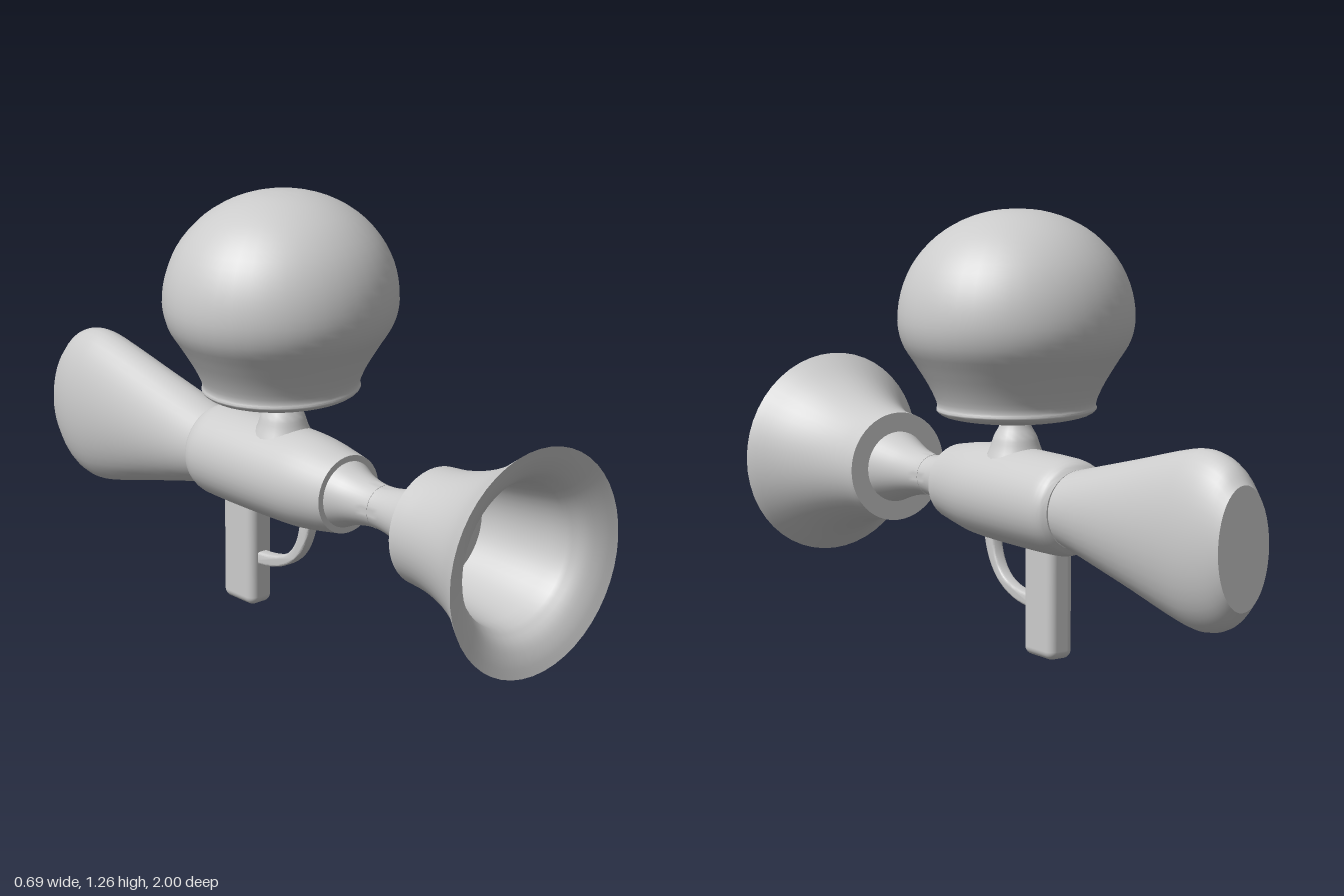
import * as THREE from 'three';
import { toCreasedNormals } from 'three/addons/utils/BufferGeometryUtils.js';
import { RoundedBoxGeometry } from 'three/addons/geometries/RoundedBoxGeometry.js';

const AXIS_Y = 0.44; // height of the barrel axis
const grey = new THREE.MeshStandardMaterial({ color: 0xcccccc });
const greyDouble = new THREE.MeshStandardMaterial({ color: 0xcccccc, side: THREE.DoubleSide });

function part(group, name, geometry, material = grey) {
  const mesh = new THREE.Mesh(geometry, material);
  mesh.name = name;
  group.add(mesh);
  return mesh;
}

// Elliptical loft along an axis; sections are [position, rx, ry = rx]
function loft(sections, sides = 40) {
  const geo = new THREE.LatheGeometry(sections.map(([p]) => new THREE.Vector2(1, p)), sides);
  const pos = geo.attributes.position;
  for (let i = 0; i < pos.count; i++) {
    const [, rx, ry = rx] = sections[i % sections.length];
    pos.setX(i, pos.getX(i) * rx);
    pos.setZ(i, pos.getZ(i) * ry);
  }
  return toCreasedNormals(geo, 0.65);
}

const loftZ = (sections, sides) => loft(sections, sides).rotateX(Math.PI / 2).translate(0, AXIS_Y, 0);

// Passes a smooth curve through a few sections
function smooth(sections, steps) {
  const curve = new THREE.CatmullRomCurve3(
    sections.map(([p, rx, ry = rx]) => new THREE.Vector3(p, rx, ry)), false, 'centripetal');
  return curve.getPoints(steps).map((v) => v.toArray());
}

export function createModel() {
  const model = new THREE.Group();
  model.name = 'bulbHornBlaster';

  // Shoulder stock, flat elliptical end
  part(model, 'stock', loftZ([
    [-1, 0, 0],
    ...smooth([[-1, 0.085, 0.165], [-0.96, 0.1, 0.208], [-0.91, 0.112, 0.232], [-0.85, 0.118, 0.24],
      [-0.79, 0.119, 0.232], [-0.55, 0.115, 0.172], [-0.29, 0.107, 0.108]], 24),
  ]));

  // Receiver body
  part(model, 'body', loftZ([
    [-0.305, 0, 0],
    ...smooth([[-0.305, 0.112], [-0.29, 0.127], [-0.265, 0.136], [-0.22, 0.139], [0.05, 0.139],
      [0.15, 0.134], [0.28, 0.113]], 24),
    [0.28, 0, 0],
  ]));

  // Waisted barrel, open towards the bell
  part(model, 'barrel', loftZ(smooth([[0.27, 0.1], [0.33, 0.075], [0.42, 0.061], [0.51, 0.073],
    [0.57, 0.09], [0.625, 0.109]], 20)), greyDouble);
  part(model, 'barrelPlug', new THREE.CircleGeometry(0.062, 40).translate(0, AXIS_Y, 0.42), greyDouble);

  // Flared bell with rolled lip, inner throat and back ring
  part(model, 'bell', loftZ([
    [0.62, 0.105],
    ...smooth([[0.62, 0.166], [0.7, 0.174], [0.8, 0.2], [0.9, 0.245], [1, 0.313]], 16),
    ...smooth([[1, 0.313], [0.985, 0.27], [0.96, 0.23], [0.92, 0.2]], 10),
    ...smooth([[0.92, 0.2], [0.78, 0.178], [0.64, 0.163]], 6),
    [0.64, 0.105],
  ], 48), greyDouble);

  // Peg holding the bulb
  part(model, 'peg', loft(smooth([[0.55, 0.085], [0.58, 0.072], [0.61, 0.062], [0.64, 0.046],
    [0.68, 0.036]], 12), 24));

  // Squeeze bulb, slightly narrower front to back
  const bulb = part(model, 'bulb', loft(smooth([[0.65, 0.001], [0.655, 0.1], [0.668, 0.19], [0.677, 0.22],
    [0.69, 0.234], [0.703, 0.231], [0.75, 0.25], [0.82, 0.293], [0.88, 0.331], [0.94, 0.345],
    [1.02, 0.336], [1.1, 0.302], [1.17, 0.242], [1.22, 0.165], [1.248, 0.08], [1.256, 0.001]], 48), 40));
  bulb.scale.z = 0.925;
  bulb.position.z = -0.007;

  // Pistol grip
  part(model, 'grip', new RoundedBoxGeometry(0.085, 0.38, 0.135, 5, 0.025).translate(0, 0.19, -0.159));

  // Trigger guard, drawn in the side plane (shape x becomes z)
  const guard = new THREE.Shape();
  guard.moveTo(0.135, 0.32);
  guard.bezierCurveTo(0.12, 0.22, 0.06, 0.13, -0.12, 0.128);
  guard.lineTo(-0.12, 0.166);
  guard.bezierCurveTo(0.02, 0.165, 0.08, 0.2, 0.092, 0.32);
  const guardGeo = new THREE.ExtrudeGeometry(guard, {
    depth: 0.024, bevelEnabled: true, bevelSize: 0.006, bevelOffset: -0.006,
    bevelThickness: 0.006, bevelSegments: 3, curveSegments: 16,
  });
  guardGeo.translate(0, 0, -0.012).rotateY(-Math.PI / 2);
  part(model, 'triggerGuard', toCreasedNormals(guardGeo, 0.7));

  return model;
}
